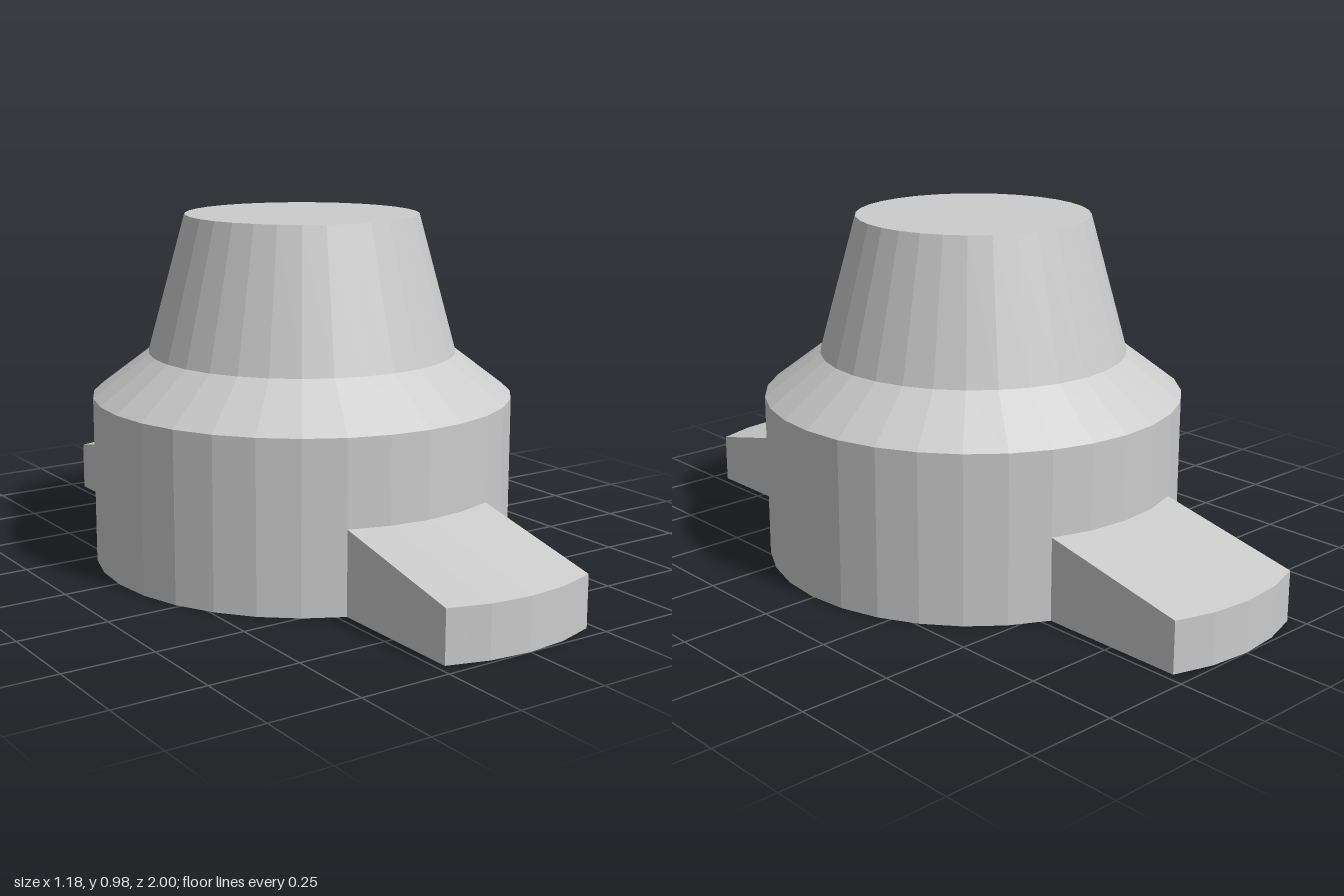
import * as THREE from 'three';

const SIDES = 32;
const RADIUS = 0.592;
const CENTER_Z = 0.01;

const material = new THREE.MeshStandardMaterial({ color: 0xcccccc, flatShading: true });

// Faceted turned body: drum, sloping shoulder and tapered neck, closed at both ends
function createBody() {
  const profile = [
    [0, 0], [RADIUS, 0], [RADIUS, 0.47], [0.434, 0.59], [0.328, 0.975], [0, 0.975],
  ].map(([r, y]) => new THREE.Vector2(r, y));
  const body = new THREE.Mesh(new THREE.LatheGeometry(profile, SIDES), material);
  body.name = 'body';
  return body;
}

// Sloping lug: a box bent around four facets of the drum and pulled outward,
// so that its tip repeats the curve of the drum
function createLug(name, reach) {
  const geometry = new THREE.BoxGeometry(1, 1, 1, 4, 1, 1);
  const position = geometry.attributes.position;
  for (let i = 0; i < position.count; i++) {
    const angle = position.getX(i) * 4 * (Math.PI * 2 / SIDES);
    const outer = position.getZ(i) > 0;
    const topY = outer ? 0.142 : 0.232;
    position.setXYZ(
      i,
      RADIUS * Math.sin(angle),
      position.getY(i) > 0 ? topY : 0,
      RADIUS * Math.cos(angle) + (outer ? reach : 0),
    );
  }
  // The inner wall lies against the drum and is left out
  geometry.setIndex(Array.from(geometry.index.array).slice(0, -24));
  geometry.clearGroups();
  geometry.computeVertexNormals();
  const lug = new THREE.Mesh(geometry, material);
  lug.name = name;
  return lug;
}

export function createModel() {
  const model = new THREE.Group();
  model.name = 'knob';

  const frontLug = createLug('frontLug', 1 - CENTER_Z - RADIUS);
  const backLug = createLug('backLug', 1 + CENTER_Z - RADIUS);
  backLug.rotation.y = Math.PI;

  for (const part of [createBody(), frontLug, backLug]) {
    part.position.z = CENTER_Z;
    model.add(part);
  }
  return model;
}
